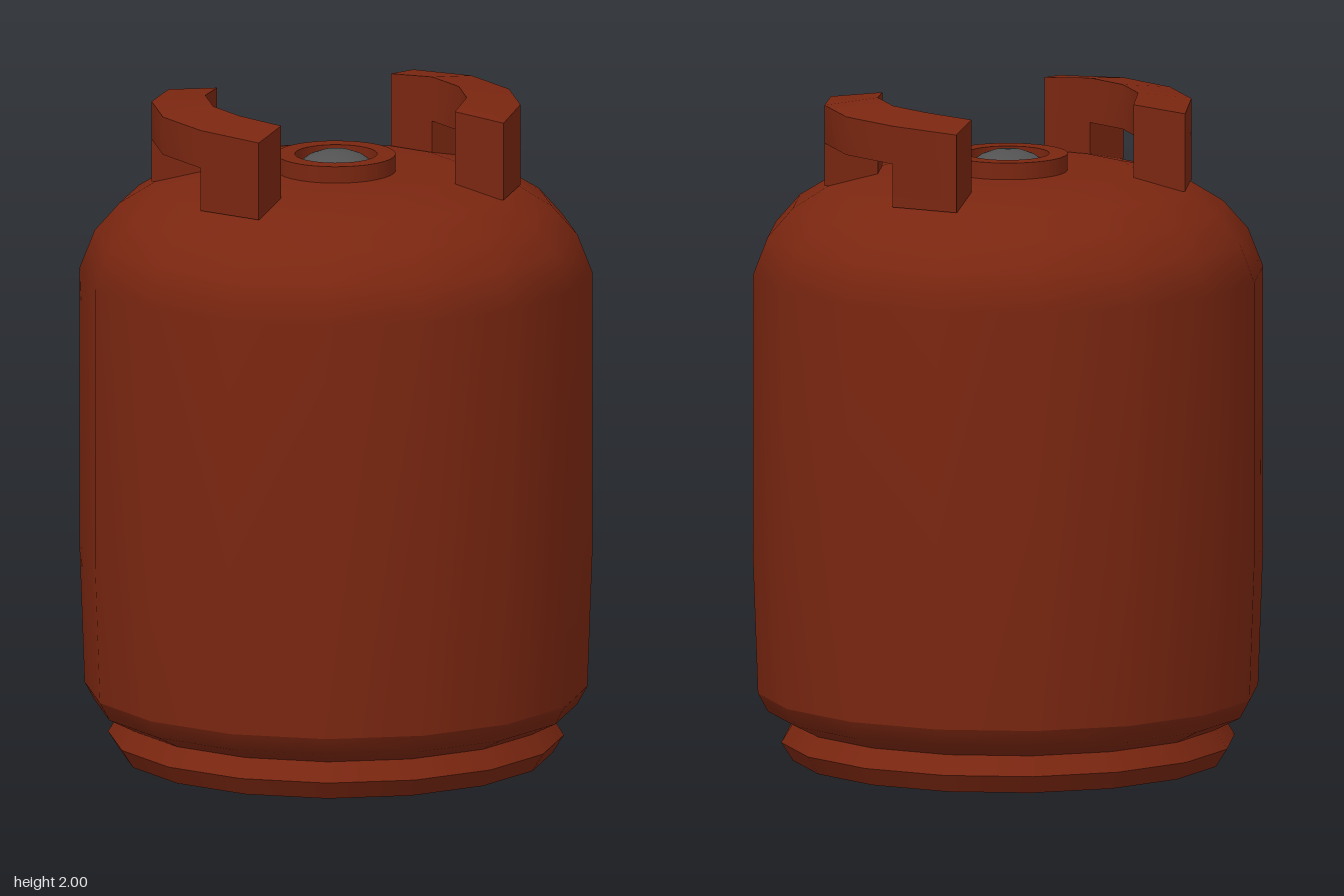
import * as THREE from 'three';
import { toCreasedNormals } from 'three/addons/utils/BufferGeometryUtils.js';

const SIDES = 16;
const red = new THREE.MeshStandardMaterial({ color: 0x7a2610 });
red.name = 'rust red paint';
const grey = new THREE.MeshStandardMaterial({ color: 0x525252 });
grey.name = 'dark grey metal';

function mesh(name, geometry, material) {
  const m = new THREE.Mesh(geometry, material);
  m.name = name;
  return m;
}

// Revolved shell from [radius, y] pairs, smooth within one profile
function lathe(name, profile, material, sides = SIDES) {
  const points = profile.map(([r, y]) => new THREE.Vector2(r, y));
  return mesh(name, new THREE.LatheGeometry(points, sides), material);
}

// Curved handle: a bridge over a 90 degree arc standing on two legs
function handleGeometry() {
  const inner = 0.39, outer = 0.55, step = Math.PI / 8;
  const legBottom = 1.735, barBottom = 1.865;
  const pos = [];
  const quad = (a, b, c, d) => pos.push(...a, ...b, ...c, ...a, ...c, ...d);

  function block(from, to, low, top) {
    const section = (i) => {
      const t = i * step, c = Math.cos(t), s = Math.sin(t);
      // the bar's upper face falls slightly outward and towards its ends
      const drop = Math.abs(i) === 2 ? 0.01 : 0;
      const p = (r, y) => [r * c, y, r * s];
      return {
        il: p(inner, low), ol: p(outer, low),
        ih: p(inner, top ? 2.0 - drop : barBottom),
        oh: p(outer, top ? 1.98 - drop : barBottom),
      };
    };
    for (let i = from; i < to; i++) {
      const a = section(i), b = section(i + 1);
      quad(a.ol, a.oh, b.oh, b.ol);
      quad(a.il, b.il, b.ih, a.ih);
      quad(a.il, a.ol, b.ol, b.il);
      if (top) quad(a.ih, b.ih, b.oh, a.oh);
      if (i === from) quad(a.il, a.ih, a.oh, a.ol);
      if (i === to - 1) quad(b.il, b.ol, b.oh, b.ih);
    }
  }
  block(-2, 2, barBottom, true);
  block(-2, -1, legBottom, false);
  block(1, 2, legBottom, false);

  const g = new THREE.BufferGeometry();
  g.setAttribute('position', new THREE.Float32BufferAttribute(pos, 3));
  return toCreasedNormals(g, 0.5);
}

export function createModel() {
  const model = new THREE.Group();
  model.name = 'gasCylinder';

  // Tank
  model.add(lathe('tankBody', [
    [0.75, 0.205], [0.765, 0.62], [0.765, 1.47], [0.72, 1.585],
    [0.645, 1.67], [0.54, 1.735], [0.38, 1.772], [0.17, 1.775], [0, 1.775],
  ], red));
  model.add(lathe('tankLowerBevel', [[0.645, 0.112], [0.72, 0.15], [0.75, 0.205]], red));

  // Foot ring with a recessed base plate
  model.add(lathe('footRingUpper', [[0.68, 0.055], [0.645, 0.112]], red));
  model.add(lathe('footRingLower', [[0.645, 0], [0.68, 0.055]], red));
  model.add(lathe('footRingUnderside', [[0.555, 0.035], [0.59, 0.005], [0.645, 0]], red));
  const base = mesh('basePlate', new THREE.CircleGeometry(0.556, SIDES), grey);
  base.rotation.x = Math.PI / 2;
  base.rotation.z = Math.PI / 2;
  base.position.y = 0.035;
  model.add(base);

  // Valve collar and domed valve
  model.add(lathe('collarWall', [[0.178, 1.765], [0.178, 1.825]], red, 32));
  model.add(lathe('collarRim', [[0.178, 1.825], [0.123, 1.825]], red, 32));
  model.add(lathe('collarInside', [[0.123, 1.825], [0.123, 1.775]], red, 32));
  model.add(lathe('valveDome', [
    [0.123, 1.78], [0.105, 1.802], [0.08, 1.82], [0.045, 1.833], [0, 1.837],
  ], grey, 32));

  // Pair of carrying handles
  const handle = handleGeometry();
  ['leftHandle', 'rightHandle'].forEach((name, i) => {
    const h = mesh(name, handle, red);
    h.rotation.y = i * Math.PI;
    model.add(h);
  });
  return model;
}
